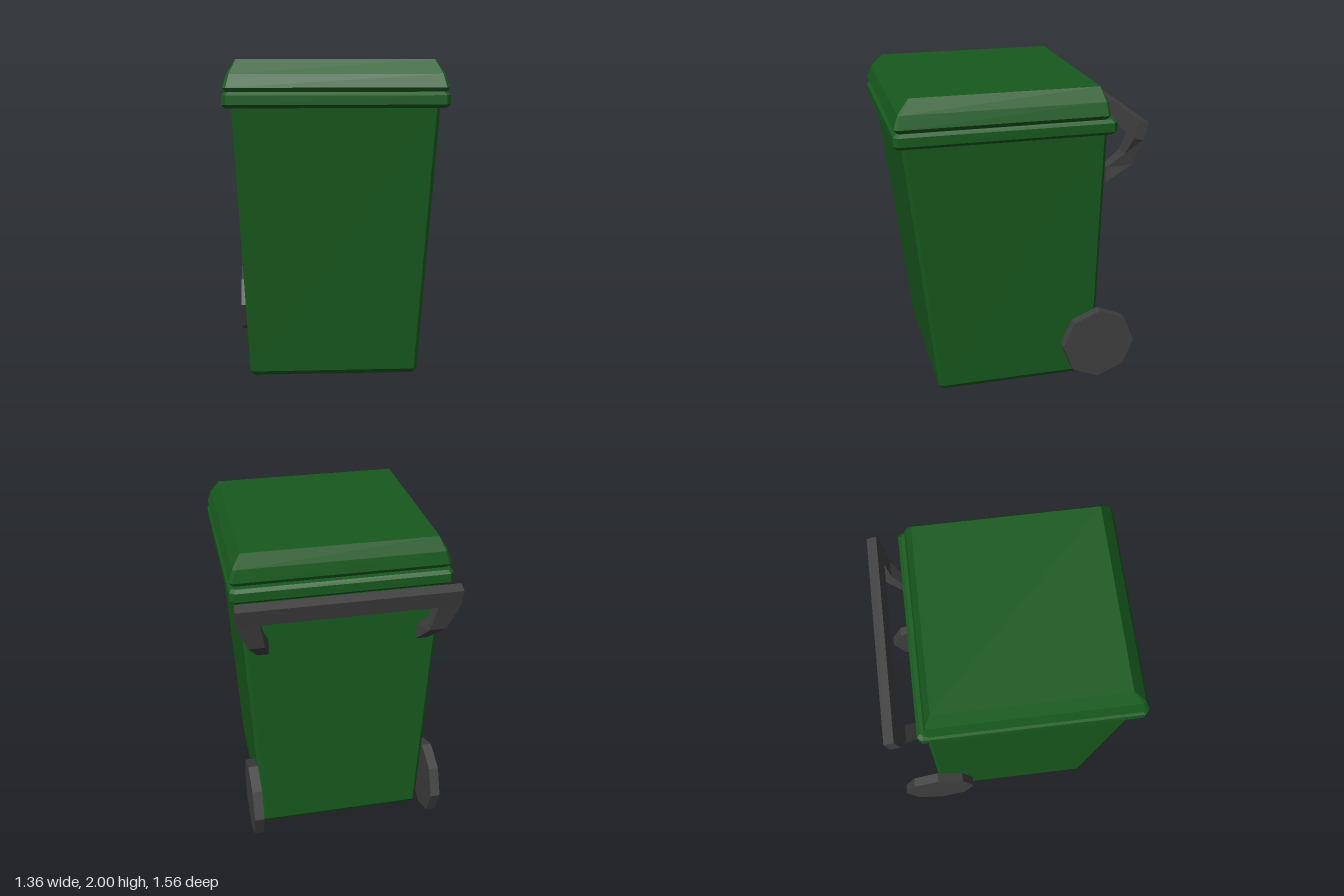
import * as THREE from 'three';

const green = new THREE.MeshStandardMaterial({ color: 0x185a1e, flatShading: true });
const dark = new THREE.MeshStandardMaterial({ color: 0x404040, flatShading: true });

// Skin a stack of equal-length rings of [x, y, z] points and cap both ends
function loft(rings) {
  const n = rings[0].length;
  const index = [];
  for (let i = 0; i < rings.length - 1; i++) {
    for (let j = 0; j < n; j++) {
      const k = (j + 1) % n;
      const a = i * n + j, b = i * n + k;
      index.push(a, b, b + n, a, b + n, a + n);
    }
  }
  const last = (rings.length - 1) * n;
  for (let j = 1; j < n - 1; j++) {
    index.push(0, j + 1, j, last, last + j, last + j + 1);
  }
  const geo = new THREE.BufferGeometry();
  geo.setAttribute('position', new THREE.Float32BufferAttribute(rings.flat(2), 3));
  geo.setIndex(index);
  const flat = geo.toNonIndexed();
  flat.computeVertexNormals();
  return flat;
}

// Horizontal rectangle with cut corners: height, half width, back z, front z, cut
function ring([y, w, back, front, c]) {
  return [
    [w - c, y, front], [w, y, front - c], [w, y, back + c], [w - c, y, back],
    [c - w, y, back], [-w, y, back + c], [-w, y, front - c], [c - w, y, front],
  ];
}

export function createModel() {
  const model = new THREE.Group();
  const add = (name, geo, mat) => {
    const mesh = new THREE.Mesh(geo, mat);
    mesh.name = name;
    model.add(mesh);
    return mesh;
  };

  // Tapered bin with an upright back
  add('body', loft([
    [0, 0.515, -0.51, 0.51, 0.015],
    [0.03, 0.535, -0.53, 0.532, 0.022],
    [1.73, 0.625, -0.53, 0.732, 0.022],
  ].map(ring)), green);

  // Bevelled band around the mouth
  add('rim', loft([
    [1.715, 0.66, -0.555, 0.76, 0.02],
    [1.735, 0.678, -0.575, 0.78, 0.025],
    [1.79, 0.678, -0.575, 0.78, 0.025],
    [1.81, 0.66, -0.555, 0.76, 0.02],
  ].map(ring)), green);

  // Domed lid
  add('lid', loft([
    [1.808, 0.655, -0.515, 0.757, 0.015],
    [1.835, 0.673, -0.532, 0.775, 0.02],
    [1.915, 0.648, -0.518, 0.748, 0.015],
    [2, 0.597, -0.48, 0.675, 0.003],
  ].map(ring)), green);

  // Push bar across the back
  const barSection = [[1.68, -0.683], [1.665, -0.744], [1.775, -0.772], [1.795, -0.71]];
  add('handleBar', loft([-0.67, 0.67].map(x => barSection.map(([y, z]) => [x, y, z]))), dark);

  // Bent arm, from foot to bar: inner x, outer x, lower [y, z], upper [y, z]
  const stations = [
    [0.46, 0.53, [1.36, -0.565], [1.46, -0.565]],
    [0.5, 0.6, [1.49, -0.7], [1.565, -0.655]],
    [0.53, 0.67, [1.67, -0.743], [1.685, -0.684]],
  ];
  for (const side of [1, -1]) {
    const label = side > 0 ? 'left' : 'right';
    const rings = stations.map(([inner, outer, lo, hi]) => {
      const pts = [
        [side * outer, ...lo], [side * inner, ...lo],
        [side * inner, ...hi], [side * outer, ...hi],
      ];
      return side > 0 ? pts : pts.reverse();
    });
    add(label + 'HandleArm', loft(rings), dark);

    // Eight-sided wheel with a corner pointing straight up
    const wheel = add(label + 'Wheel', new THREE.CylinderGeometry(0.245, 0.245, 0.062, 8), dark);
    wheel.rotation.z = Math.PI / 2;
    wheel.position.set(side * 0.588, 0.25, -0.533);
  }

  return model;
}
